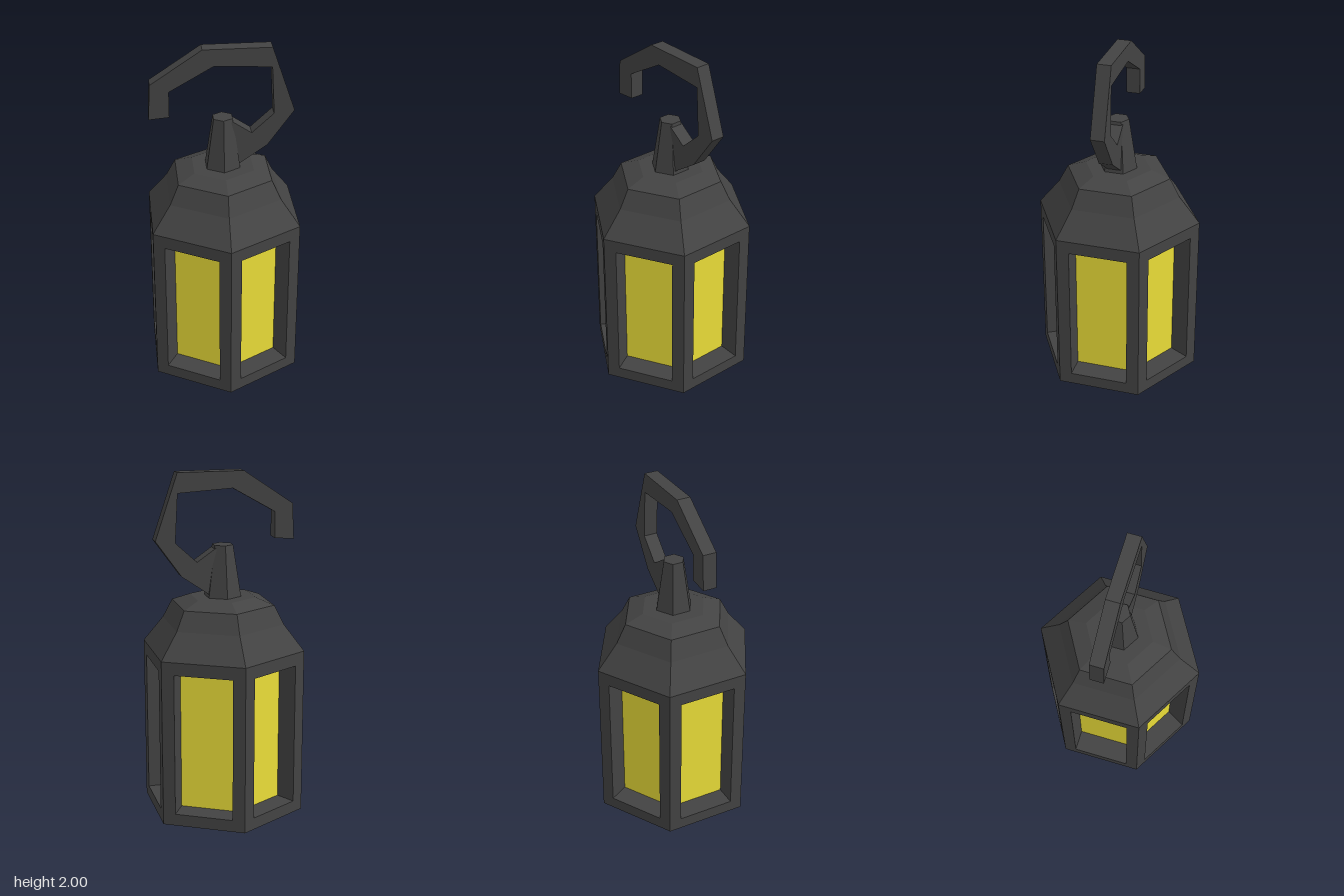
import * as THREE from 'three';

const METAL = new THREE.MeshStandardMaterial({ color: 0x434343, flatShading: true });
const GLASS = new THREE.MeshStandardMaterial({ color: 0xeadd38, flatShading: true });

const R = 0.485;          // corner radius of the hexagonal body
const CORE = 0.34;        // corner radius of the recessed glass
const WINDOW = [0.07, 0.905];
const BODY_TOP = 0.98;

const vectors = (pairs) => pairs.map(([x, y]) => new THREE.Vector2(x, y));

export function createModel() {
  const lantern = new THREE.Group();
  lantern.name = 'lantern';

  const add = (name, geometry, material = METAL) => {
    const mesh = new THREE.Mesh(geometry, material);
    mesh.name = name;
    lantern.add(mesh);
    return mesh;
  };
  // Six-sided solid from a radius/height profile, with corners on the z axis
  const hexSolid = (name, profile, material) =>
    add(name, new THREE.LatheGeometry(vectors(profile), 6), material);

  // Base slab
  hexSolid('base', [[0, 0], [R, 0], [R, WINDOW[0]], [0, WINDOW[0]]]);

  // Window header and stepped roof
  hexSolid('roof', [
    [0, WINDOW[1]], [R, WINDOW[1]], [R, BODY_TOP], [0.364, 1.13],
    [0.306, 1.24], [0.196, 1.28], [0, 1.28],
  ]);

  // Recessed glass on all six sides
  hexSolid('glass', [[CORE, WINDOW[0]], [CORE, WINDOW[1]]], GLASS);

  // Corner posts: kite section reaching from the outer corner to the glass corner
  const along = (R - CORE) / 2; // post width measured along each outer face
  const px = along * Math.sin(Math.PI / 3);
  const pz = R - along * Math.cos(Math.PI / 3);
  const kite = new THREE.Shape(vectors([[0, -R], [px, -pz], [0, -CORE], [-px, -pz]]));
  const post = new THREE.ExtrudeGeometry(kite, { depth: WINDOW[1] - WINDOW[0], bevelEnabled: false });
  post.rotateX(-Math.PI / 2);
  post.translate(0, WINDOW[0], 0);
  for (let i = 0; i < 6; i++) {
    add('cornerPost', post).rotation.y = (i * Math.PI) / 3;
  }

  // Tapered finial
  hexSolid('finial', [[0, 1.27], [0.11, 1.28], [0.062, 1.58], [0, 1.58]]);

  // Angular hanging hook: outer edge, then back along the inner edge
  const hook = new THREE.ExtrudeGeometry(new THREE.Shape(vectors([
    [0.04, 1.285], [0.085, 1.295], [0.25, 1.41], [0.4, 1.62], [0.27, 2], [-0.115, 2],
    [-0.405, 1.805], [-0.415, 1.598], [-0.3, 1.608], [-0.3, 1.76], [-0.05, 1.903],
    [0.27, 1.885], [0.285, 1.605], [0.16, 1.49], [0.05, 1.565], [0.02, 1.5],
  ])), { depth: 0.08, bevelEnabled: false });
  hook.translate(0, 0, -0.04);
  add('hook', hook);

  return lantern;
}
